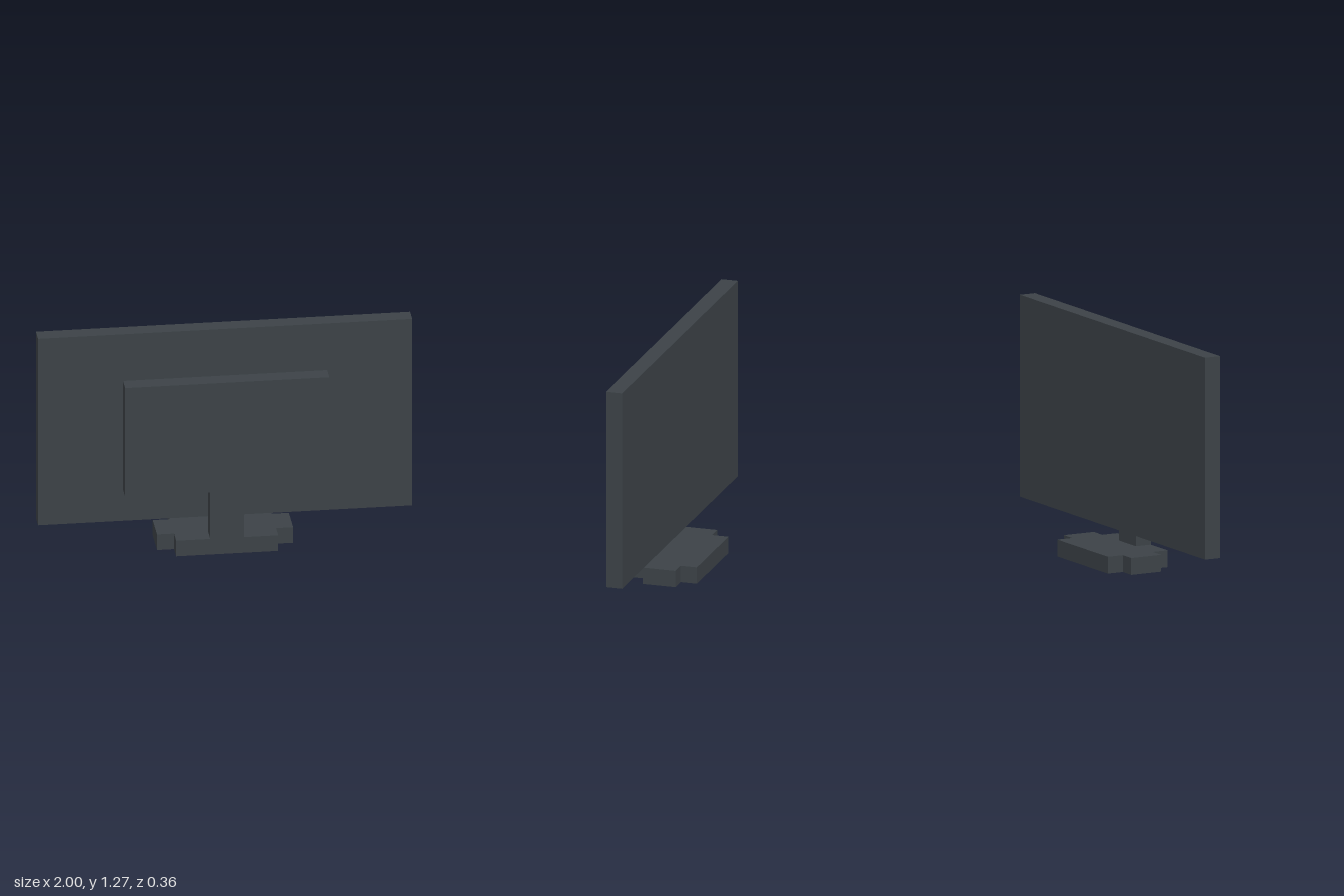
import * as THREE from 'three';

const U = 1 / 11; // block unit: the screen is 22 units wide

// Extrudes a left-right symmetric outline given by its +x half, bottom to top
function mirroredSlab(half, material, name) {
  const left = half.map(([x, y]) => [-x, y]).reverse();
  const points = [...half, ...left].map(([x, y]) => new THREE.Vector2(x * U, y * U));
  const geometry = new THREE.ExtrudeGeometry(new THREE.Shape(points), { depth: U, bevelEnabled: false });
  const mesh = new THREE.Mesh(geometry, material);
  mesh.name = name;
  return mesh;
}

export function createModel() {
  const group = new THREE.Group();
  group.name = 'monitor';
  const casing = new THREE.MeshStandardMaterial({ color: 0x3c4247 });
  casing.name = 'dark slate casing';

  // Wide flat display
  const screen = new THREE.Mesh(new THREE.BoxGeometry(22 * U, 12 * U, U), casing);
  screen.name = 'screen';
  screen.position.set(0, 8 * U, U / 2);
  group.add(screen);

  // Housing panel and the neck below it, in one flush piece
  const housing = mirroredSlab([[1, 1], [1, 4], [6, 4], [6, 11]], casing, 'housingAndNeck');
  housing.position.z = U;
  group.add(housing);

  // Base with notched corners, laid flat
  const base = mirroredSlab([[3, -2], [3, -1], [4, -1], [4, 1], [3, 1], [3, 2]], casing, 'base');
  base.rotation.x = -Math.PI / 2;
  group.add(base);

  return group;
}
